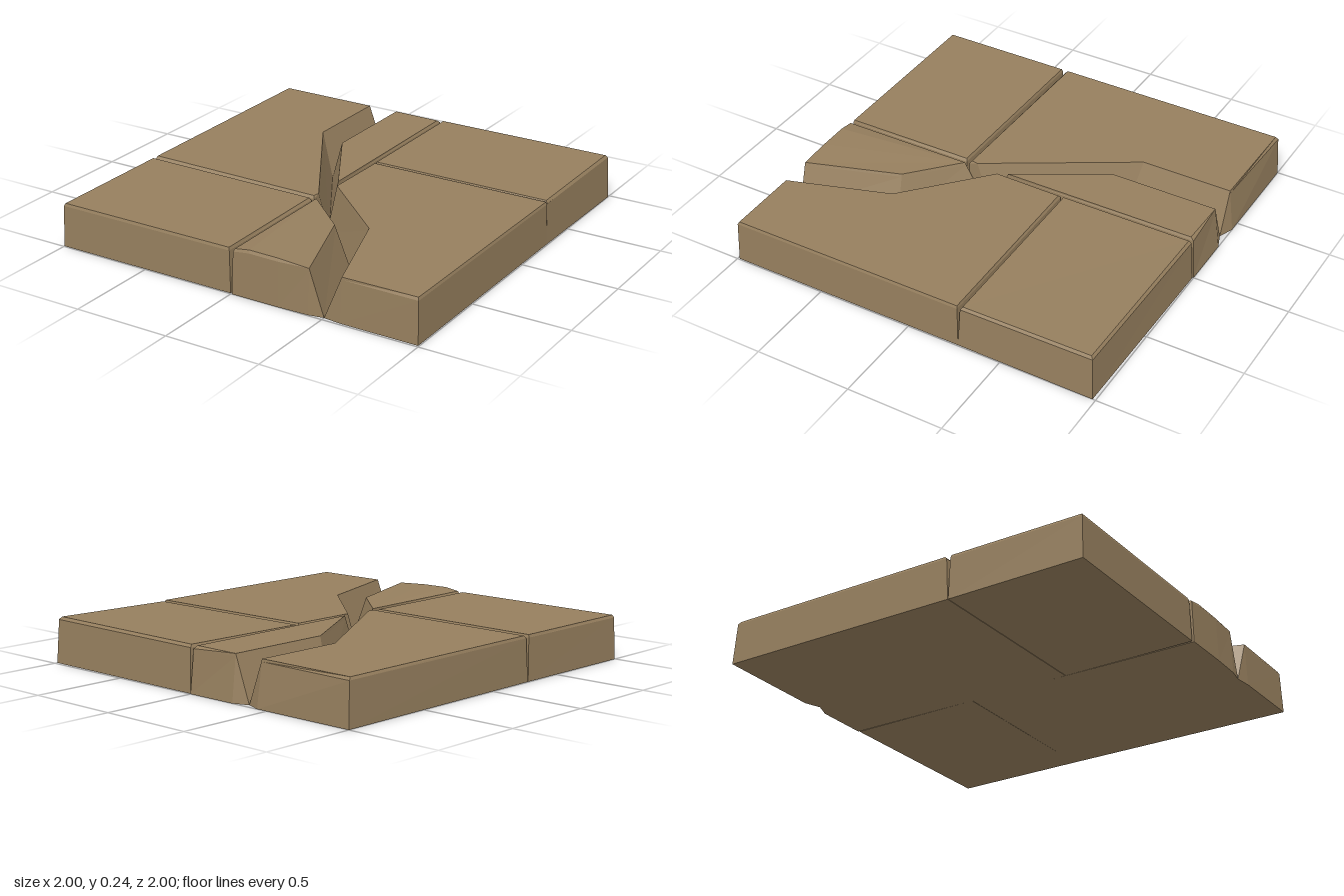
import * as THREE from 'three';

const stone = new THREE.MeshStandardMaterial({ color: 0x967f5e, flatShading: true });

// Corner of a slab: top x, z, bottom x, z, top height; crack corners stay straight instead of chamfered
const edge = (tx, tz, bx, bz, h = 0.228) => ({ tx, tz, bx, bz, h, t: 0.5 });
const crack = (tx, tz, bx, bz, h = 0.228) => ({ tx, tz, bx, bz, h, t: 0.94 });

// Slab from corners listed counter-clockwise as seen from above: base, shoulder and top rings
function slab(name, corners) {
  const base = corners.map(c => [c.bx, 0, c.bz]);
  const shoulder = corners.map(c => [
    THREE.MathUtils.lerp(c.bx, c.tx, c.t), c.h * 0.94, THREE.MathUtils.lerp(c.bz, c.tz, c.t)]);
  const top = corners.map(c => [c.tx, c.h, c.tz]);
  const pos = [];
  const tri = (a, b, c) => pos.push(...a, ...b, ...c);

  // Side walls and chamfer
  for (const [lo, hi] of [[base, shoulder], [shoulder, top]]) {
    for (let i = 0; i < lo.length; i++) {
      const j = (i + 1) % lo.length;
      tri(lo[i], lo[j], hi[j]);
      tri(lo[i], hi[j], hi[i]);
    }
  }

  // Top and bottom caps, each triangle turned to face outward
  for (const [ring, up] of [[top, true], [base, false]]) {
    const flat = ring.map(p => new THREE.Vector2(p[0], -p[2]));
    for (const [a, b, c] of THREE.ShapeUtils.triangulateShape(flat, [])) {
      const ccw = flat[b].clone().sub(flat[a]).cross(flat[c].clone().sub(flat[a])) > 0;
      if (ccw === up) tri(ring[a], ring[b], ring[c]);
      else tri(ring[a], ring[c], ring[b]);
    }
  }

  const geometry = new THREE.BufferGeometry();
  geometry.setAttribute('position', new THREE.Float32BufferAttribute(pos, 3));
  geometry.computeVertexNormals();
  const mesh = new THREE.Mesh(geometry, stone);
  mesh.name = name;
  return mesh;
}

export function createModel() {
  const group = new THREE.Group();
  group.name = 'crackedPaving';

  group.add(
    // Large back tile, split in two by the crack
    slab('backTileOuterHalf', [
      edge(-0.985, -0.975, -1, -1), edge(-0.985, 0.25, -0.995, 0.275),
      edge(-0.015, 0.265, 0, 0.285), crack(-0.01, 0.23, 0, 0.15),
      crack(-0.445, -0.49, -0.36, -0.45), crack(-0.445, -0.97, -0.36, -0.97),
      crack(-0.445, -0.97, -0.44, -1),
    ]),
    slab('backTileInnerHalf', [
      crack(-0.275, -0.97, -0.28, -1), crack(-0.275, -0.97, -0.36, -0.97),
      crack(-0.275, -0.41, -0.36, -0.45), crack(-0.01, 0.05, 0, 0.15),
      edge(-0.015, -0.965, 0, -1),
    ]),
    // Small whole tiles
    slab('frontSmallTile', [
      edge(-0.985, 0.288, -0.995, 0.278), edge(-0.985, 0.985, -1, 0.995),
      edge(-0.015, 0.985, -0.005, 0.995), edge(-0.02, 0.3, 0, 0.288),
    ]),
    slab('backSmallTile', [
      edge(0.02, -0.97, 0.005, -0.995, 0.23), edge(0.015, -0.282, 0, -0.272, 0.225),
      edge(0.975, -0.29, 0.995, -0.272, 0.225), edge(0.98, -0.963, 1, -0.985, 0.236),
    ]),
    // Large front tile, split in two by the crack
    slab('frontTileOuterHalf', [
      edge(0.02, -0.255, 0, -0.27), crack(0.015, 0.1, 0, 0.17),
      crack(0.42, 0.46, 0.34, 0.49), crack(0.595, 0.98, 0.5, 0.98),
      crack(0.595, 0.98, 0.59, 0.99), edge(0.985, 0.975, 0.995, 0.99),
      edge(0.985, -0.265, 0.995, -0.272),
    ]),
    slab('frontTileInnerHalf', [
      crack(0.015, 0.29, 0, 0.17), edge(0.02, 0.985, 0.005, 1, 0.23),
      edge(0.1, 0.985, 0.1, 1, 0.242), edge(0.26, 0.985, 0.26, 1, 0.24),
      crack(0.425, 0.985, 0.42, 0.995, 0.23), crack(0.425, 0.985, 0.5, 0.98, 0.23),
      crack(0.26, 0.51, 0.34, 0.49),
    ]),
  );
  return group;
}
